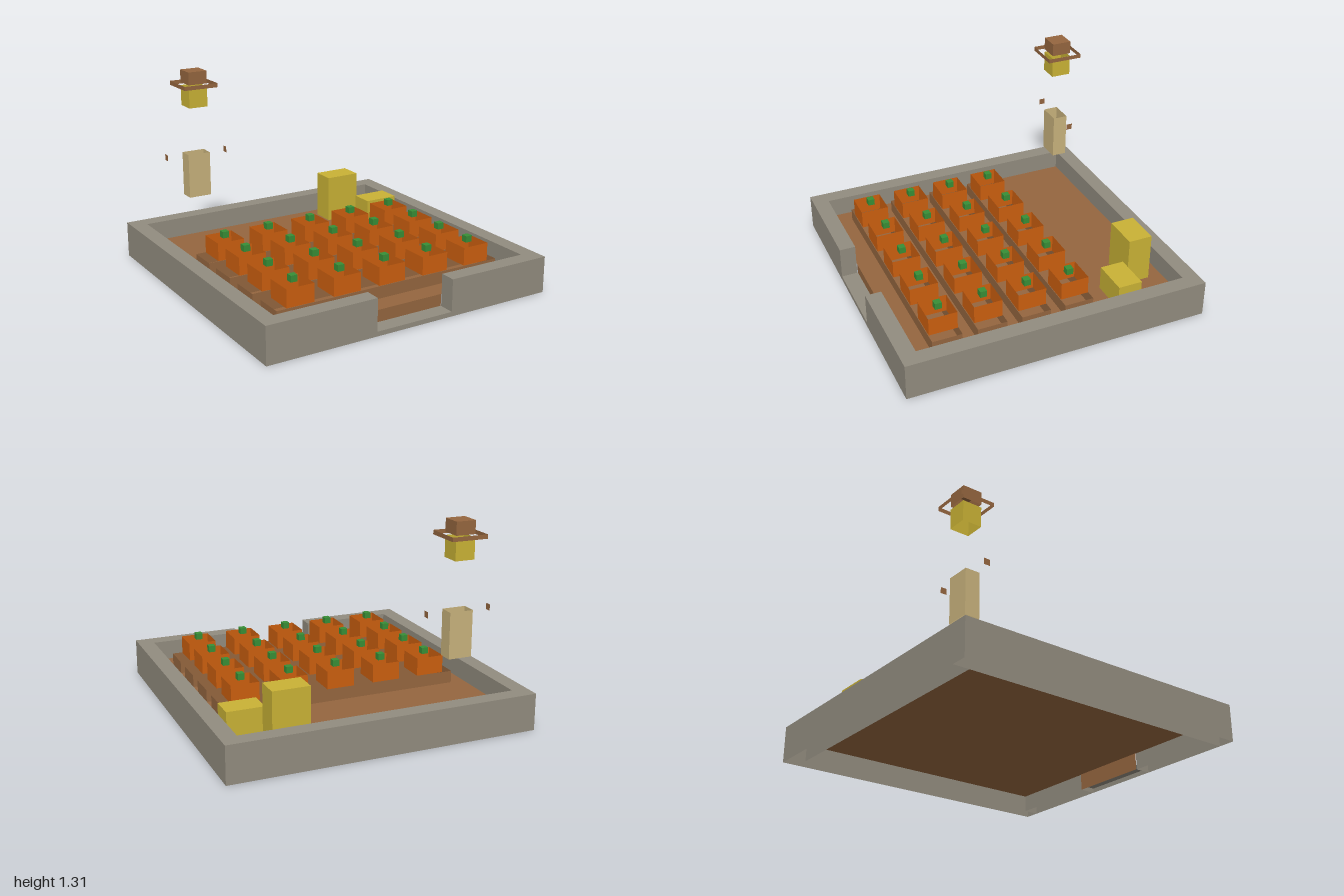
import * as THREE from 'three';

const flat = (name, color) => {
  const m = new THREE.MeshStandardMaterial({ color, side: THREE.DoubleSide });
  m.name = name;
  return m;
};

// Face order of a box: +x, -x, +y, -y, +z, -z
const RIGHT_LEFT = [0, 1], SIDES = [0, 1, 4, 5], LID = [0, 1, 2, 4, 5];

// A box between two corners that keeps only the listed faces
function shell(x0, x1, y0, y1, z0, z1, faces) {
  const g = new THREE.BoxGeometry(x1 - x0, y1 - y0, z1 - z0);
  const index = g.index.array;
  g.setIndex(faces.flatMap(f => Array.from(index.slice(f * 6, f * 6 + 6))));
  g.clearGroups();
  g.translate((x0 + x1) / 2, (y0 + y1) / 2, (z0 + z1) / 2);
  return g;
}

export function createModel() {
  const root = new THREE.Group();
  root.name = 'pumpkinPatch';
  const stone = flat('stone', 0x928c7f);
  const soil = flat('soil', 0x95663f);
  const orange = flat('pumpkinOrange', 0xcc5f0f);
  const green = flat('stemGreen', 0x388e36);
  const straw = flat('straw', 0xc9b235);
  const cloth = flat('cloth', 0xc8b27c);

  const add = (parent, name, material, faces, ...b) => {
    const mesh = new THREE.Mesh(shell(...b, faces), material);
    mesh.name = name;
    parent.add(mesh);
    return mesh;
  };

  // Surrounding wall, open underneath, with a gateway in front
  const walls = new THREE.Group();
  walls.name = 'walls';
  root.add(walls);
  add(walls, 'leftWall', stone, LID, 0.895, 1, 0, 0.24, -1, 1);
  add(walls, 'rightWall', stone, LID, -1, -0.895, 0, 0.24, -1, 1);
  add(walls, 'backWall', stone, [2, 4, 5], -0.895, 0.895, 0, 0.24, -1, -0.895);
  add(walls, 'frontWallLeft', stone, [1, 2, 4, 5], 0.27, 0.895, 0, 0.24, 0.895, 1);
  add(walls, 'frontWallRight', stone, [0, 2, 4, 5], -0.895, -0.27, 0, 0.24, 0.895, 1);
  add(walls, 'threshold', stone, [2, 4], -0.27, 0.27, 0, 0.03, 0.89, 1);

  // Ground
  add(root, 'ground', soil, [2], -0.895, 0.895, 0, 0.11, -0.895, 0.895);
  add(root, 'groundFront', soil, [4], -0.27, 0.27, 0, 0.11, 0.8, 0.89);

  // Planting ridges, each with a row of open pumpkins
  for (const z of [-0.215, 0.077, 0.37, 0.663]) {
    add(root, 'ridge', soil, SIDES, -0.8, 0.8, 0.11, 0.19, z - 0.097, z + 0.097);
    for (let i = -2; i <= 2; i++) {
      const x = i * 0.32, r = 0.093, s = 0.022;
      const pumpkin = new THREE.Group();
      pumpkin.name = 'pumpkin';
      root.add(pumpkin);
      add(pumpkin, 'pumpkinBody', orange, SIDES, x - r, x + r, 0.19, 0.308, z - r, z + r);
      add(pumpkin, 'pumpkinStem', green, LID, x - s, x + s, 0.308, 0.35, z - s, z + s);
    }
  }

  // Hay bales
  add(root, 'tallHayBale', straw, LID, 0.41, 0.65, 0.11, 0.43, -0.8, -0.64);
  add(root, 'lowHayBale', straw, LID, 0.625, 0.865, 0.11, 0.27, -0.615, -0.455);

  // Scarecrow, with separate floating parts
  const scarecrow = new THREE.Group();
  scarecrow.name = 'scarecrow';
  scarecrow.position.set(-0.59, 0, -0.72);
  root.add(scarecrow);
  add(scarecrow, 'torso', cloth, SIDES, -0.078, 0.078, 0.453, 0.75, -0.049, 0.049);
  add(scarecrow, 'armEnds', soil, RIGHT_LEFT, -0.215, 0.215, 0.722, 0.762, -0.021, 0.021);
  add(scarecrow, 'head', straw, SIDES, -0.065, 0.065, 1.07, 1.205, -0.065, 0.065);
  add(scarecrow, 'hatBrim', soil, SIDES, -0.118, 0.118, 1.203, 1.23, -0.118, 0.118);
  add(scarecrow, 'hatCrown', soil, LID, -0.065, 0.065, 1.225, 1.31, -0.065, 0.065);
  return root;
}
